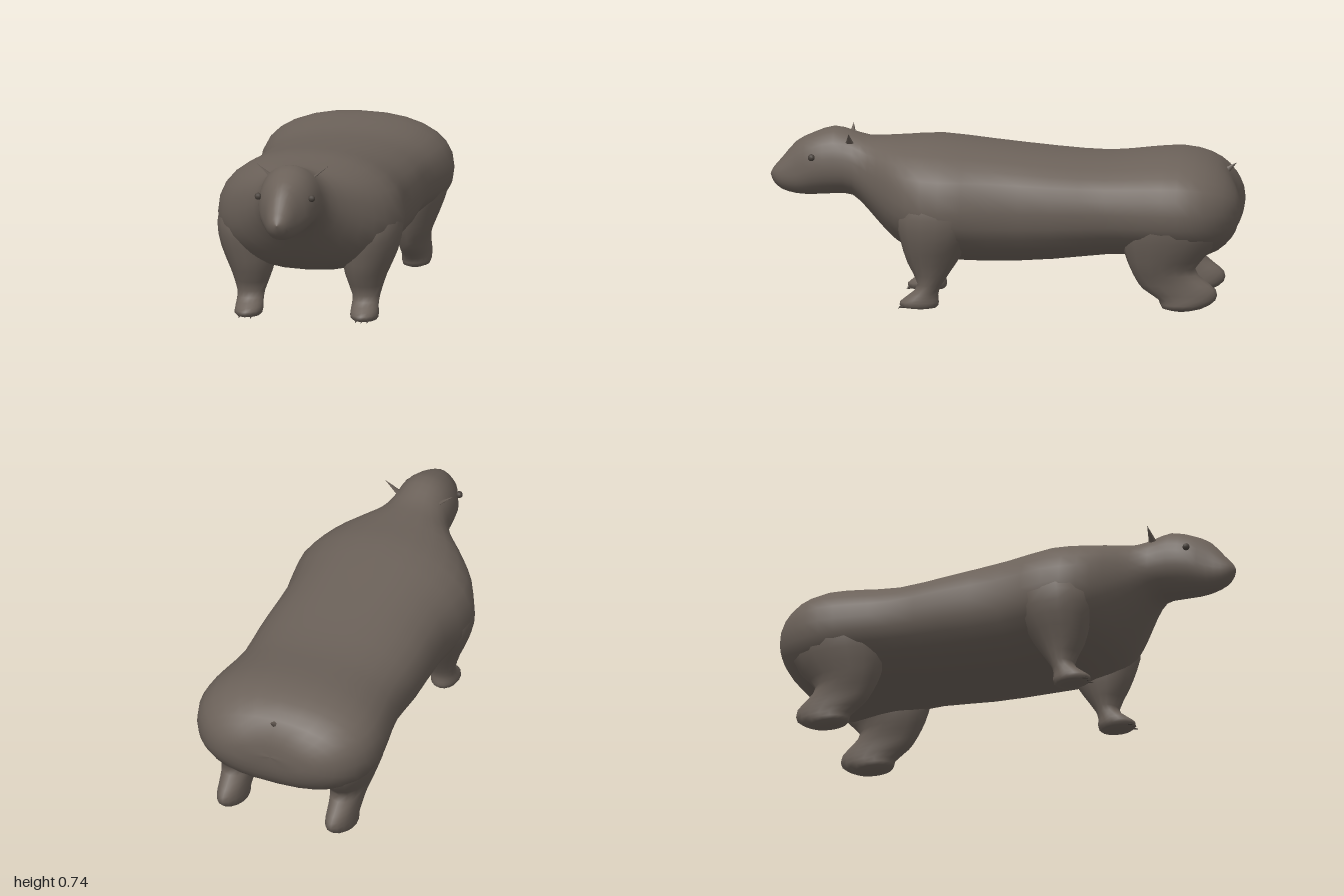
import * as THREE from 'three';

const fur = new THREE.MeshStandardMaterial({ color: 0x6b6159 });
fur.name = 'brownGreyFur';
const dark = new THREE.MeshStandardMaterial({ color: 0x4a433d });
dark.name = 'darkBrown';

// Smoothly adds steps between neighbouring rows of section measurements
function refine(rows, steps) {
  const out = [];
  const at = i => rows[Math.min(Math.max(i, 0), rows.length - 1)];
  for (let i = 0; i < rows.length - 1; i++) {
    for (let s = 0; s < steps; s++) {
      const t = s / steps;
      out.push(rows[i].map((p1, k) => {
        const p0 = at(i - 1)[k], p2 = at(i + 1)[k], p3 = at(i + 2)[k];
        return 0.5 * (2 * p1 + (p2 - p0) * t + (2 * p0 - 5 * p1 + 4 * p2 - p3) * t * t
          + (3 * p1 - p0 - 3 * p2 + p3) * t * t * t);
      }));
    }
  }
  out.push(rows[rows.length - 1]);
  return out;
}

// Skins closed rings into one smooth surface
function loft(rows, sides, point) {
  const pos = [], index = [];
  rows.forEach((row, i) => {
    for (let j = 0; j < sides; j++) {
      pos.push(...point(row, (j / sides) * Math.PI * 2));
      if (i === rows.length - 1) continue;
      const a = i * sides + j, b = i * sides + (j + 1) % sides;
      index.push(a, a + sides, b, b, a + sides, b + sides);
    }
  });
  const g = new THREE.BufferGeometry();
  g.setAttribute('position', new THREE.Float32BufferAttribute(pos, 3));
  g.setIndex(index);
  g.computeVertexNormals();
  return g;
}

function add(group, name, geometry, material) {
  const mesh = new THREE.Mesh(geometry, material);
  mesh.name = name;
  group.add(mesh);
  return mesh;
}

const power = (v, e) => Math.sign(v) * Math.pow(Math.abs(v), e);

// Upright section: z, height of widest point, half width, top, bottom, squareness
function bodyPoint([z, mid, w, top, bottom, n], a) {
  const c = Math.cos(a), s = Math.sin(a);
  const x = Math.max(w, 0) * power(c, 2 / n);
  const y = mid + (s > 0 ? top - mid : mid - bottom) * power(s, 2 / n);
  // Shallow groove down the middle of the rump
  const groove = z < -0.9 ? 0.025 * Math.exp(-((x / 0.1) ** 2)) * (-z - 0.9) / 0.1 : 0;
  return [x, y, z + groove];
}

// Level section: y, x centre, z front, z back, half width
function legPoint([y, x, front, back, w], a) {
  return [x + w * Math.cos(a), y, (front + back) / 2 - Math.sin(a) * (front - back) / 2];
}

export function createModel() {
  const model = new THREE.Group();
  model.name = 'animal';

  // Head, neck, trunk and rump in one skin
  const bodyRows = [
    [1.0, 0.535, 0.0, 0.535, 0.535, 2],
    [0.985, 0.535, 0.03, 0.565, 0.5, 2],
    [0.95, 0.53, 0.053, 0.605, 0.47, 2.1],
    [0.89, 0.54, 0.078, 0.675, 0.453, 2.1],
    [0.82, 0.57, 0.112, 0.712, 0.45, 2.1],
    [0.73, 0.58, 0.128, 0.741, 0.455, 2.1],
    [0.65, 0.57, 0.138, 0.722, 0.45, 2.1],
    [0.58, 0.53, 0.185, 0.702, 0.385, 2.1],
    [0.5, 0.49, 0.27, 0.7, 0.3, 2.2],
    [0.41, 0.45, 0.35, 0.703, 0.235, 2.2],
    [0.27, 0.43, 0.398, 0.708, 0.195, 2.2],
    [0.06, 0.43, 0.367, 0.685, 0.183, 2.3],
    [-0.2, 0.43, 0.373, 0.657, 0.195, 2.3],
    [-0.43, 0.43, 0.366, 0.642, 0.218, 2.3],
    [-0.6, 0.43, 0.393, 0.656, 0.22, 2.3],
    [-0.74, 0.43, 0.41, 0.664, 0.21, 2.3],
    [-0.85, 0.43, 0.385, 0.64, 0.22, 2.3],
    [-0.93, 0.43, 0.325, 0.59, 0.265, 2.3],
    [-0.975, 0.43, 0.25, 0.53, 0.32, 2.3],
    [-0.995, 0.43, 0.16, 0.48, 0.38, 2.2],
    [-1.0, 0.43, 0.0, 0.43, 0.43, 2],
  ];
  add(model, 'body', loft(refine(bodyRows, 2), 28, bodyPoint), fur);

  const frontLeg = [
    [0.58, 0.25, 0.33, 0.2, 0.06],
    [0.5, 0.26, 0.41, 0.12, 0.115],
    [0.4, 0.268, 0.45, 0.1, 0.128],
    [0.3, 0.258, 0.435, 0.14, 0.12],
    [0.2, 0.245, 0.405, 0.2, 0.09],
    [0.11, 0.247, 0.362, 0.26, 0.06],
    [0.065, 0.247, 0.4, 0.275, 0.058],
    [0.035, 0.248, 0.437, 0.272, 0.06],
    [0.012, 0.25, 0.425, 0.285, 0.05],
    [0.004, 0.25, 0.36, 0.34, 0.0],
  ];
  const hindLeg = [
    [0.56, 0.25, -0.66, -0.76, 0.06],
    [0.48, 0.265, -0.56, -0.87, 0.12],
    [0.36, 0.265, -0.5, -0.92, 0.125],
    [0.26, 0.25, -0.51, -0.87, 0.11],
    [0.19, 0.247, -0.535, -0.81, 0.085],
    [0.14, 0.247, -0.56, -0.85, 0.068],
    [0.1, 0.247, -0.59, -0.897, 0.062],
    [0.055, 0.247, -0.655, -0.895, 0.06],
    [0.02, 0.248, -0.67, -0.84, 0.055],
    [0.004, 0.248, -0.74, -0.76, 0.0],
  ];

  for (const side of [1, -1]) {
    const label = side > 0 ? 'left' : 'right';
    const mirror = rows => refine(rows.map(([y, x, f, b, w]) => [y, x * side, f, b, w]), 2);
    add(model, label + 'FrontLeg', loft(mirror(frontLeg), 16, legPoint), fur);
    add(model, label + 'HindLeg', loft(mirror(hindLeg), 16, legPoint), fur);

    // Small bead eye
    const eye = add(model, label + 'Eye', new THREE.SphereGeometry(0.015, 10, 8), dark);
    eye.position.set(0.115 * side, 0.622, 0.82);

    // Thin pointed ear leaning outwards
    const ear = add(model, label + 'Ear', new THREE.ConeGeometry(0.02, 0.09, 6), fur);
    ear.scale.x = 0.3;
    ear.rotation.z = -0.9 * side;
    ear.position.set(0.122 * side, 0.703, 0.66);

    // Tiny claws at the toes
    for (const offset of [-0.025, 0, 0.025]) {
      const claw = add(model, label + 'Claw', new THREE.ConeGeometry(0.006, 0.03, 5), dark);
      claw.rotation.x = Math.PI / 2 + 0.3;
      claw.position.set(0.25 * side + offset, 0.014, 0.43);
    }
  }

  // Stub tail
  const tail = add(model, 'tail', new THREE.ConeGeometry(0.016, 0.06, 6), fur);
  tail.rotation.x = -0.9;
  tail.position.set(0, 0.585, -0.945);

  return model;
}
